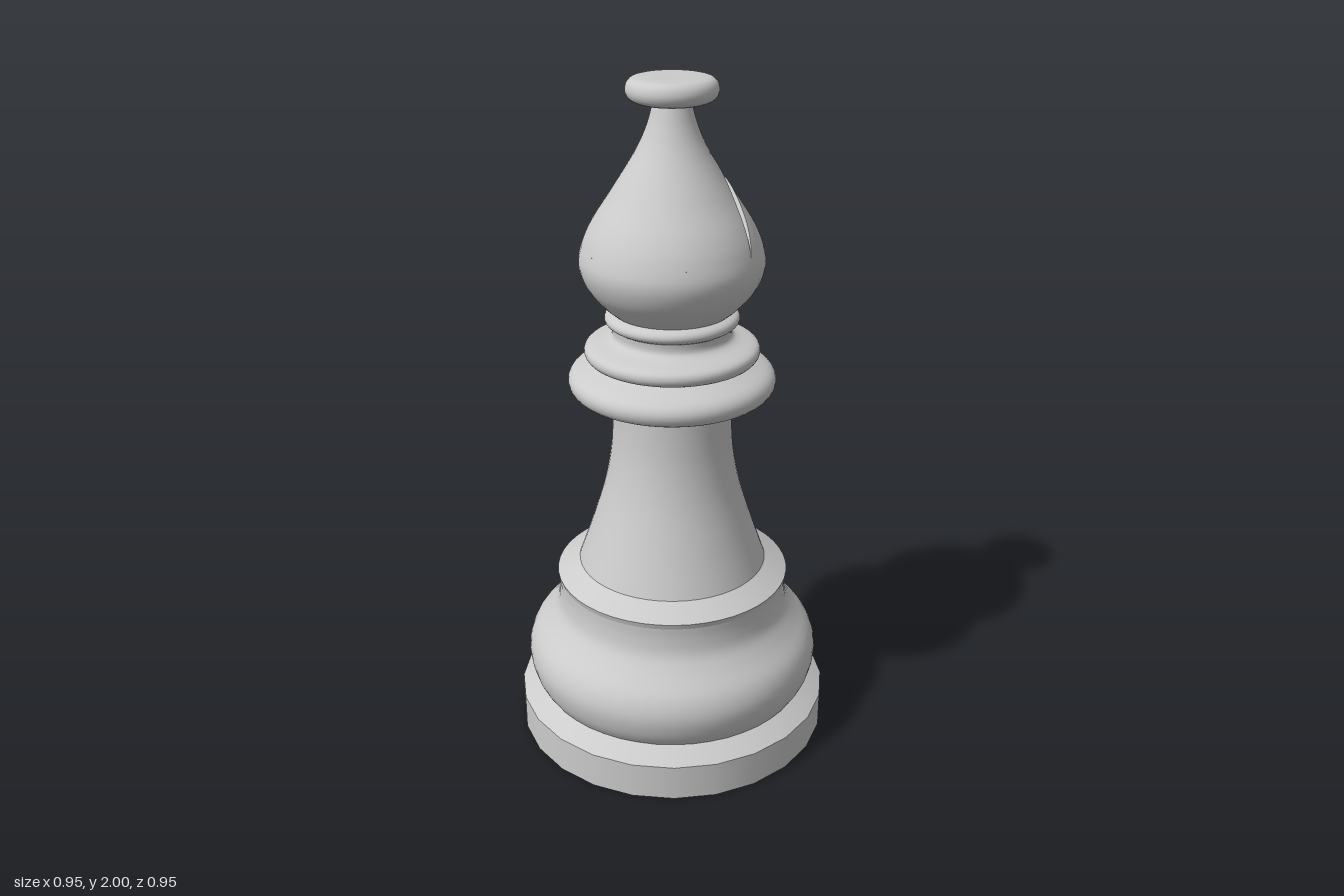
import * as THREE from 'three';
import { ParametricGeometry } from 'three/addons/geometries/ParametricGeometry.js';

const material = new THREE.MeshStandardMaterial({ color: 0xcccccc, roughness: 0.7 });
const spline = (points) => new THREE.SplineCurve(points.map(([r, y]) => new THREE.Vector2(r, y)));

function add(parent, name, geometry) {
  const mesh = new THREE.Mesh(geometry, material);
  mesh.name = name;
  parent.add(mesh);
}

// Turned part from [radius, height] pairs, listed bottom to top
function turned(parent, name, points, { smooth = 0, sides = 48 } = {}) {
  const profile = smooth ? spline(points).getPoints(smooth) : points.map(([r, y]) => new THREE.Vector2(r, y));
  add(parent, name, new THREE.LatheGeometry(profile, sides));
}

// Head profile, as a radius for each height
const headProfile = spline([
  [0.165, 1.345], [0.2, 1.375], [0.243, 1.43], [0.262, 1.49], [0.25, 1.55],
  [0.222, 1.61], [0.17, 1.69], [0.102, 1.8], [0.07, 1.87], [0.05, 1.94],
]).getPoints(240);

function headRadius(y) {
  let i = 1;
  while (i < headProfile.length - 1 && headProfile[i].y < y) i++;
  const a = headProfile[i - 1], b = headProfile[i];
  return THREE.MathUtils.mapLinear(y, a.y, b.y, a.x, b.x);
}

// The slot is a wedge running right across the head
const slotY = 1.54, slotZ = -0.05;
const frontCut = (y) => slotZ - 0.2 * (y - slotY);
const backCut = (y) => slotZ - 0.45 * (y - slotY);
const cutAngle = (y, cut) => Math.acos(Math.max(-1, cut(y) / headRadius(y)));

// Curved head surface between two heights; range(y) gives the start and end angle
function headWall(parent, name, y0, y1, rows, range) {
  add(parent, name, new ParametricGeometry((u, v, p) => {
    const y = THREE.MathUtils.lerp(y0, y1, v);
    const [from, to] = range(y);
    const angle = THREE.MathUtils.lerp(from, to, u);
    const r = headRadius(y);
    p.set(r * Math.sin(angle), y, r * Math.cos(angle));
  }, 48, rows));
}

// Flat side of the slot; facing is 1 toward +z and -1 toward -z
function slotFace(parent, name, y1, cut, facing) {
  add(parent, name, new ParametricGeometry((u, v, p) => {
    const y = THREE.MathUtils.lerp(slotY, y1, v);
    const z = cut(y);
    const halfWidth = Math.sqrt(Math.max(0, headRadius(y) ** 2 - z * z));
    p.set(facing * halfWidth * (2 * u - 1), y, z);
  }, 8, 24));
}

export function createModel() {
  const model = new THREE.Group();
  model.name = 'chessBishop';

  // Foot
  turned(model, 'footUnderside', [[0, 0], [0.475, 0]], { sides: 24 });
  turned(model, 'footRim', [[0.475, 0], [0.475, 0.11]], { sides: 24 });
  turned(model, 'footTop', [[0.475, 0.11], [0.42, 0.145], [0.4, 0.155]], { sides: 24 });

  // Rounded base with a lip on top
  turned(model, 'baseBulge', [
    [0.41, 0.14], [0.435, 0.185], [0.447, 0.25], [0.43, 0.31], [0.385, 0.365],
    [0.355, 0.41], [0.346, 0.46], [0.346, 0.5],
  ], { smooth: 28 });
  turned(model, 'baseLip', [[0.346, 0.5], [0.351, 0.517]]);
  turned(model, 'baseShoulder', [[0.351, 0.517], [0.283, 0.555]]);

  // Tapered stem
  turned(model, 'stem', [
    [0.283, 0.555], [0.243, 0.67], [0.203, 0.8], [0.182, 0.91], [0.175, 1], [0.174, 1.09],
  ], { smooth: 20 });

  // Stacked collars
  turned(model, 'largeCollar', [
    [0.17, 1.08], [0.23, 1.092], [0.285, 1.11], [0.301, 1.142], [0.285, 1.172], [0.235, 1.195], [0.21, 1.205],
  ], { smooth: 24 });
  turned(model, 'middleCollar', [
    [0.215, 1.2], [0.243, 1.21], [0.253, 1.23], [0.241, 1.25], [0.19, 1.265], [0.172, 1.28], [0.172, 1.305],
  ], { smooth: 24 });
  turned(model, 'smallCollar', [
    [0.172, 1.305], [0.188, 1.315], [0.193, 1.328], [0.186, 1.341], [0.165, 1.35],
  ], { smooth: 16 });

  // Head, split into two lobes by the slot
  const head = new THREE.Group();
  head.name = 'head';
  model.add(head);
  const fullTurn = () => [0, 2 * Math.PI];
  headWall(head, 'headLower', 1.345, slotY, 20, fullTurn);
  headWall(head, 'frontLobe', slotY, 1.8, 24, (y) => [-cutAngle(y, frontCut), cutAngle(y, frontCut)]);
  headWall(head, 'backLobe', slotY, 1.74, 24, (y) => [cutAngle(y, backCut), 2 * Math.PI - cutAngle(y, backCut)]);
  headWall(head, 'headUpper', 1.8, 1.94, 12, fullTurn);
  slotFace(head, 'slotFrontFace', 1.8, frontCut, -1);
  slotFace(head, 'slotBackFace', 1.74, backCut, 1);

  // Button finial
  turned(model, 'finial', [
    [0.045, 1.932], [0.09, 1.932], [0.117, 1.943], [0.127, 1.966], [0.118, 1.99], [0.09, 2], [0, 2],
  ], { smooth: 28 });

  return model;
}
